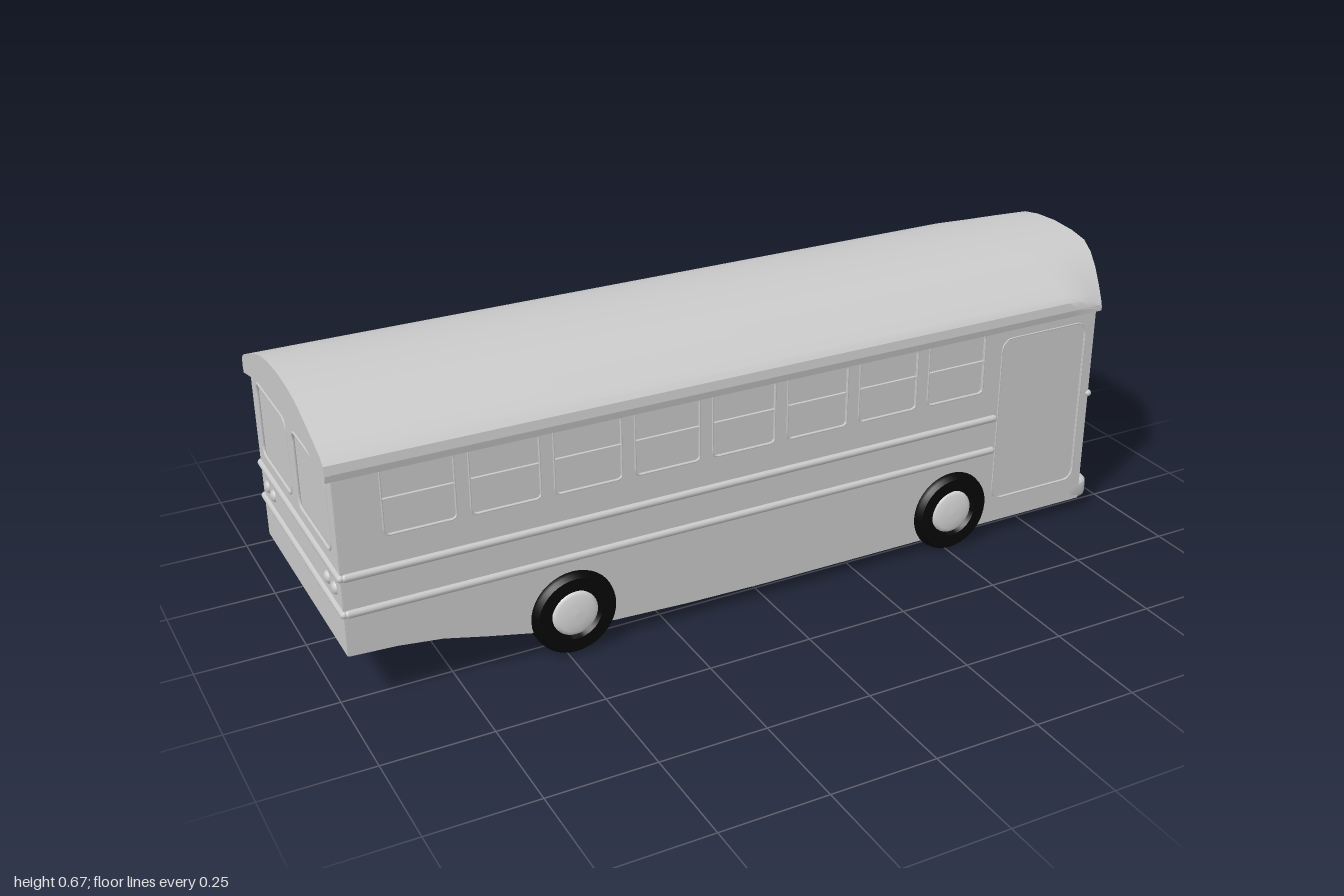
import * as THREE from 'three';
import { toCreasedNormals } from 'three/addons/utils/BufferGeometryUtils.js';
import { RoundedBoxGeometry } from 'three/addons/geometries/RoundedBoxGeometry.js';

function material(name, color) {
  const m = new THREE.MeshStandardMaterial({ color });
  m.name = name;
  return m;
}

// Closed outline with rounded corners
function outline(pts, r) {
  const path = new THREE.Path();
  const v = pts.map(p => new THREE.Vector2(...p));
  v.forEach((p, i) => {
    const prev = v[(i + v.length - 1) % v.length], next = v[(i + 1) % v.length];
    const a = p.clone().add(prev.clone().sub(p).setLength(r));
    const b = p.clone().add(next.clone().sub(p).setLength(r));
    if (i === 0) path.moveTo(a.x, a.y); else path.lineTo(a.x, a.y);
    path.quadraticCurveTo(p.x, p.y, b.x, b.y);
  });
  path.closePath();
  return path;
}
const rect = (x0, x1, y0, y1) => [[x0, y0], [x1, y0], [x1, y1], [x0, y1]];
const polygon = pts => new THREE.Shape(pts.map(p => new THREE.Vector2(...p)));

// Underside height along the length
const BOTTOM = [[-0.985, 0.135], [-0.88, 0.13], [-0.78, 0.118], [-0.68, 0.094], [-0.58, 0.072],
  [-0.48, 0.056], [-0.38, 0.048], [-0.2, 0.04], [0, 0.036], [0.905, 0.035]];
function bottomY(x) {
  const i = Math.max(1, BOTTOM.findIndex(p => p[0] >= x));
  const [a, b] = [BOTTOM[i - 1], BOTTOM[i]];
  return a[1] + (b[1] - a[1]) * (x - a[0]) / (b[0] - a[0]);
}
function bottomLine(x0, x1) {
  const mids = BOTTOM.filter(p => p[0] > x0 + 0.001 && p[0] < x1 - 0.001);
  return [[x0, bottomY(x0)], ...mids, [x1, bottomY(x1)]];
}

// Arched roof: one closed loop of points per column across the width
function roofGeometry() {
  // z, crown height, underside height, crown height at the visor, visor reach
  const half = [[0, 0.665, 0.585, 0.665, 0.998], [0.07, 0.661, 0.583, 0.661, 0.998], [0.12, 0.653, 0.58, 0.652, 0.997],
    [0.16, 0.642, 0.574, 0.636, 0.987], [0.2, 0.627, 0.566, 0.612, 0.972], [0.25, 0.608, 0.555, 0.583, 0.947],
    [0.285, 0.593, 0.547, 0.565, 0.927], [0.3, 0.58, 0.543, 0.556, 0.918], [0.303, 0.56, 0.559, 0.548, 0.916]];
  const columns = [...half.slice(1).map(([z, ...rest]) => [-z, ...rest]).reverse(), ...half];
  const points = [], index = [];
  let rows;
  for (const [z, top, low, front, tip] of columns) {
    const at = f => 0.82 + f * (tip - 0.82);
    const crown = f => top + (front - top) * f * f;
    const loop = [[tip, low], [tip, front], [at(0.67), crown(0.67)], [at(0.33), crown(0.33)], [0.82, top],
      [-1, top], [-1, low], [0.82, low], [tip, low]];
    rows = loop.length;
    loop.forEach(([x, y]) => points.push(x, y, z));
  }
  for (let c = 0; c < columns.length - 1; c++) {
    for (let r = 0; r < rows - 1; r++) {
      const a = c * rows + r, d = a + rows;
      index.push(a, a + 1, d, a + 1, d + 1, d);
    }
  }
  const geo = new THREE.BufferGeometry();
  geo.setAttribute('position', new THREE.Float32BufferAttribute(points, 3));
  geo.setIndex(index);
  return toCreasedNormals(geo, 0.7);
}

export function createModel() {
  const paint = material('body grey', 0xcacaca);
  const rubber = material('tyre black', 0x060606);
  const metal = material('wheel light grey', 0xdcdcdc);
  const bus = new THREE.Group();
  bus.name = 'bus';

  function add(name, geo, mat, x = 0, y = 0, z = 0) {
    const m = new THREE.Mesh(geo, mat);
    m.name = name;
    m.position.set(x, y, z);
    bus.add(m);
    return m;
  }
  const box = (name, x0, x1, y0, y1, z0, z1, mat = paint) =>
    add(name, new THREE.BoxGeometry(x1 - x0, y1 - y0, z1 - z0), mat, (x0 + x1) / 2, (y0 + y1) / 2, (z0 + z1) / 2);
  const extrude = (shape, depth) =>
    new THREE.ExtrudeGeometry(shape, { depth, bevelEnabled: false, curveSegments: 6 });
  const rim = (pts, r, thick) => {
    const p = outline(pts, r).getSpacedPoints(48).slice(0, -1).map(q => new THREE.Vector3(q.x, q.y, 0));
    return new THREE.TubeGeometry(new THREE.CatmullRomCurve3(p, true), 64, thick, 8, true);
  };

  // Side walls with window and door openings
  const windows = Array.from({ length: 8 }, (_, i) => -0.81 + 0.188 * i);
  const doorPts = rect(0.635, 0.88, 0.097, 0.52);
  const side = polygon([...bottomLine(-0.985, 0.905), [0.905, 0.56], [-0.985, 0.56]]);
  windows.forEach(x => side.holes.push(outline(rect(x - 0.078, x + 0.078, 0.395, 0.55), 0.01)));
  side.holes.push(outline(doorPts, 0.025));
  const sideGeo = extrude(side, 0.012);
  const doorRim = rim(doorPts, 0.025, 0.002);

  for (const s of [1, -1]) {
    add('sideWall', sideGeo, paint, 0, 0, s > 0 ? 0.283 : -0.295);
    box('sideWindowPanes', -0.9, 0.6, 0.385, 0.555, s * 0.284 - 0.004, s * 0.284 + 0.004);
    box('doorPanel', 0.625, 0.89, 0.09, 0.53, s * 0.285 - 0.004, s * 0.285 + 0.004);
    add('doorFrame', doorRim, paint, 0, 0, s * 0.295);
    for (const x of windows) {
      box('windowSashBar', x - 0.078, x + 0.078, 0.468, 0.477, s * 0.29 - 0.004, s * 0.29 + 0.004);
      add('windowFrame', rim(rect(x - 0.078, x + 0.078, 0.395, 0.55), 0.01, 0.002), paint, 0, 0, s * 0.295);
    }
    // Rub rails
    for (const y of [0.235, 0.32]) {
      const rail = add('sideRail', new THREE.CapsuleGeometry(0.009, 1.6, 4, 10), paint, -0.177, y, s * 0.295);
      rail.rotation.z = Math.PI / 2;
    }
  }

  // End walls: outline in z and y, openings mirrored
  function endWall(y0, openings) {
    const shape = polygon([[-0.294, y0], [0.294, y0], [0.294, 0.55], [0.2, 0.575], [0.1, 0.59],
      [-0.1, 0.59], [-0.2, 0.575], [-0.294, 0.55]]);
    for (const [pts, r] of openings) {
      shape.holes.push(outline(pts, r));
      shape.holes.push(outline(pts.map(([a, b]) => [-a, b]), r));
    }
    return extrude(shape, 0.014).rotateY(Math.PI / 2);
  }
  const screen = [[0.032, 0.366], [0.267, 0.366], [0.267, 0.518], [0.2, 0.54], [0.032, 0.556]];
  const lampBay = rect(0.045, 0.263, 0.134, 0.178);
  add('frontWall', endWall(0.035, [[screen, 0.03], [lampBay, 0.008]]), paint, 0.893);
  box('windscreenPane', 0.886, 0.896, 0.34, 0.575, -0.285, 0.285);
  box('lampBayBack', 0.886, 0.896, 0.12, 0.19, -0.285, 0.285);
  const rearPane = rect(0.025, 0.25, 0.36, 0.54);
  add('rearWall', endWall(0.135, [[rearPane, 0.02]]), paint, -0.987);
  box('rearPane', -0.983, -0.974, 0.34, 0.56, -0.28, 0.28);

  for (const s of [1, -1]) {
    const mirror = pts => pts.map(([a, b]) => [a * s, b]);
    const frame = (name, pts, r, t, x) => add(name, rim(mirror(pts), r, t).rotateY(Math.PI / 2), paint, x);
    frame('windscreenFrame', screen, 0.03, 0.006, 0.904);
    frame('lampBayFrame', lampBay, 0.008, 0.002, 0.907);
    frame('rearWindowFrame', rearPane, 0.02, 0.004, -0.986);
    // Headlamps and indicators
    add('headlamp', new RoundedBoxGeometry(0.014, 0.026, 0.125, 2, 0.005), paint, 0.9, 0.156, s * 0.115);
    add('indicator', new RoundedBoxGeometry(0.014, 0.026, 0.042, 2, 0.005), paint, 0.9, 0.156, s * 0.233);
    for (const z of [0.2, 0.25]) {
      const lamp = add('tailLamp', new THREE.SphereGeometry(0.015, 16, 10), paint, -0.985, 0.277, s * z);
      lamp.scale.x = 0.7;
    }
  }
  for (const [x, y] of [[0.907, 0.325], [-0.986, 0.32], [-0.986, 0.235]]) {
    const rail = add('endRail', new THREE.CapsuleGeometry(0.009, 0.585, 4, 10), paint, x, y, 0);
    rail.rotation.x = Math.PI / 2;
  }

  // Bowed front bumper
  const bumper = new THREE.Shape();
  bumper.moveTo(0.88, -0.295);
  bumper.lineTo(0.915, -0.295);
  bumper.quadraticCurveTo(0.94, -0.29, 0.945, -0.26);
  bumper.quadraticCurveTo(0.995, 0, 0.945, 0.26);
  bumper.quadraticCurveTo(0.94, 0.29, 0.915, 0.295);
  bumper.lineTo(0.88, 0.295);
  const bumperGeo = new THREE.ExtrudeGeometry(bumper, { depth: 0.026, bevelThickness: 0.01, bevelSize: 0.009,
    bevelOffset: -0.009, bevelSegments: 3, curveSegments: 12 });
  add('frontBumper', toCreasedNormals(bumperGeo.rotateX(-Math.PI / 2), 0.7), paint, 0, 0.044, 0);

  add('roof', roofGeometry(), paint);

  // Floor panels between the axle channels
  for (const [x0, x1] of [[-0.985, -0.58], [-0.38, 0.41], [0.61, 0.905]]) {
    const line = bottomLine(x0, x1);
    const upper = line.map(([x, y]) => [x, y + 0.01]).reverse();
    add('floor', toCreasedNormals(extrude(polygon([...line, ...upper]), 0.584), 0.4), paint, 0, 0, -0.292);
  }

  // Axle channels and wheels
  const tyre = new THREE.LatheGeometry([[0.054, -0.029], [0.09, -0.029], [0.098, -0.02], [0.1, -0.01], [0.1, 0.01],
    [0.098, 0.02], [0.09, 0.029], [0.06, 0.029], [0.054, 0.018]].map(p => new THREE.Vector2(...p)), 40);
  const hub = new THREE.LatheGeometry([[0.056, 0], [0.054, 0.02], [0.045, 0.024], [0.025, 0.027], [0, 0.028]]
    .map(p => new THREE.Vector2(...p)), 32);
  const tyreGeo = toCreasedNormals(tyre.rotateX(Math.PI / 2), 0.6);
  const backGeo = new THREE.CylinderGeometry(0.056, 0.056, 0.006, 32).rotateX(Math.PI / 2);
  hub.rotateX(Math.PI / 2);
  for (const x of [-0.48, 0.51]) {
    box('channelRearWall', x - 0.108, x - 0.1, bottomY(x - 0.1), 0.14, -0.285, 0.285, metal);
    box('channelFrontWall', x + 0.1, x + 0.108, bottomY(x + 0.1), 0.14, -0.285, 0.285, rubber);
    box('channelTop', x - 0.1, x + 0.1, 0.135, 0.143, -0.285, 0.285, rubber);
    for (const s of [1, -1]) {
      const wheel = new THREE.Group();
      wheel.name = 'wheel';
      wheel.position.set(x, 0.1, s * 0.285);
      if (s < 0) wheel.rotation.y = Math.PI;
      const t = new THREE.Mesh(tyreGeo, rubber), h = new THREE.Mesh(hub, metal);
      t.name = 'tyre';
      h.name = 'hubcap';
      // Inner disc closes the wheel towards the channel
      const back = new THREE.Mesh(backGeo, rubber);
      back.name = 'wheelBack';
      back.position.z = -0.022;
      wheel.add(t, h, back);
      bus.add(wheel);
    }
  }
  return bus;
}
